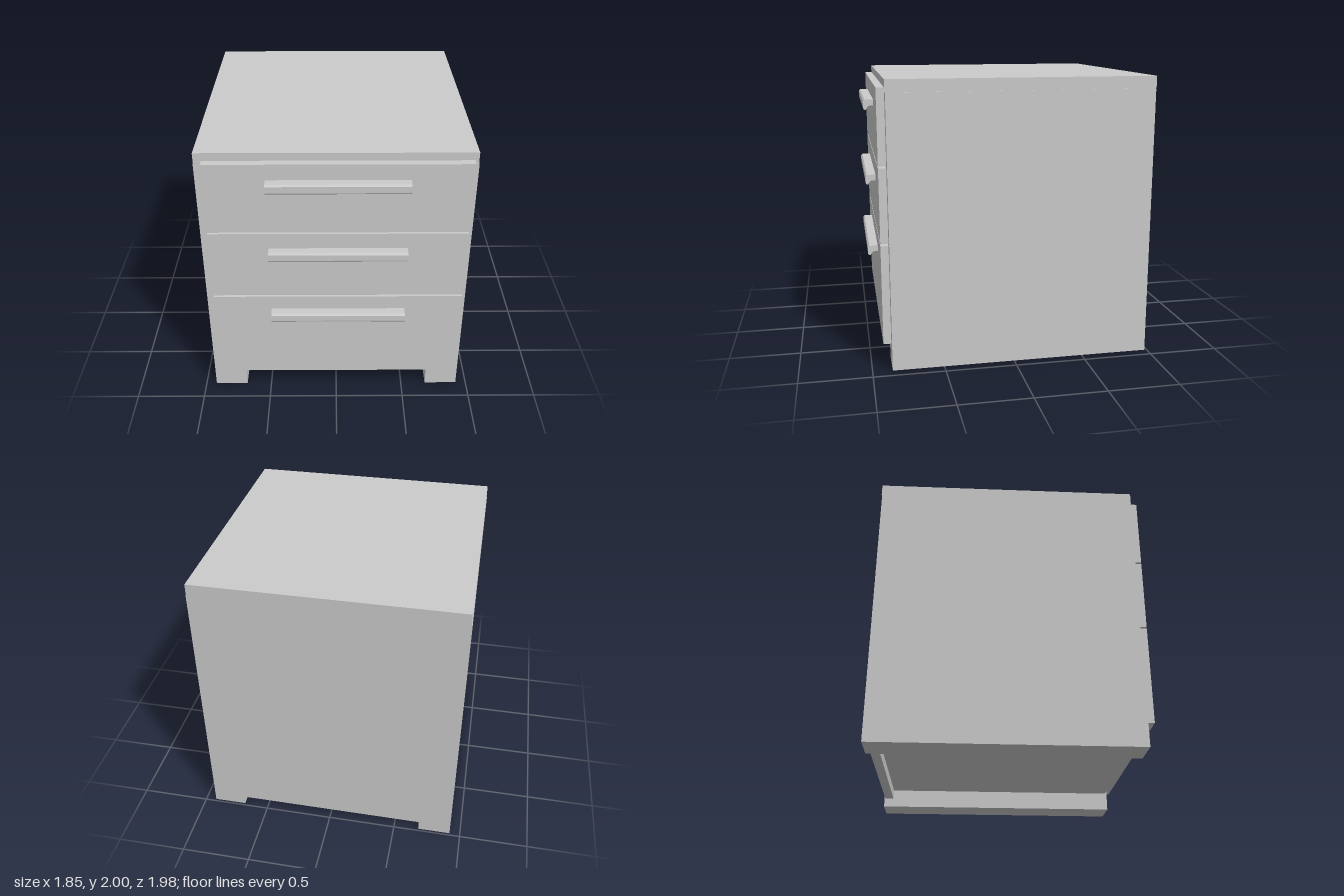
import * as THREE from 'three';

const material = new THREE.MeshStandardMaterial({ color: 0xcccccc, flatShading: true });

// Box given by its lower and upper limits on each axis
function box(name, x0, x1, y0, y1, z0, z1) {
  const mesh = new THREE.Mesh(new THREE.BoxGeometry(x1 - x0, y1 - y0, z1 - z0), material);
  mesh.position.set((x0 + x1) / 2, (y0 + y1) / 2, (z0 + z1) / 2);
  mesh.name = name;
  return mesh;
}

// Hooked bar pull, its profile drawn as (z, y) and run along x
function handleGeometry() {
  const s = new THREE.Shape();
  s.moveTo(0, 0);
  s.lineTo(0.06, 0);
  s.lineTo(0.071, -0.011);
  s.lineTo(0.071, -0.054);
  s.quadraticCurveTo(0.07, -0.071, 0.052, -0.071);
  s.quadraticCurveTo(0.042, -0.042, 0.024, -0.042);
  s.lineTo(0, -0.042);
  s.closePath();
  const g = new THREE.ExtrudeGeometry(s, { depth: 0.945, bevelEnabled: false, curveSegments: 4 });
  return g.rotateY(-Math.PI / 2).translate(0.485, 0, 0);
}

export function createModel() {
  const model = new THREE.Group();
  model.name = 'drawerCabinet';

  // Carcass: the back panel hangs lower than the bottom panel
  model.add(
    box('topPanel', -0.92, 0.918, 1.915, 2, -0.987, 0.865),
    box('rightSide', -0.923, -0.685, 0, 1.915, -0.983, 0.862),
    box('leftSide', 0.685, 0.923, 0, 1.915, -0.983, 0.862),
    box('backPanel', -0.685, 0.685, 0.066, 1.915, -0.976, -0.91),
    box('bottomPanel', -0.685, 0.685, 0.135, 0.203, -0.91, 0.848)
  );

  // Drawers: bottom, top and handle heights
  const pull = handleGeometry();
  const rows = [
    [1.43, 1.945, 1.832],
    [0.902, 1.418, 1.302],
    [0.187, 0.888, 0.78],
  ];
  rows.forEach(([y0, y1, yHandle], i) => {
    const drawer = new THREE.Group();
    drawer.name = ['topDrawer', 'middleDrawer', 'bottomDrawer'][i];
    const low = y0 + 0.03, high = y1 - 0.12;
    drawer.add(
      box('drawerFront', -0.867, 0.892, y0, y1, 0.865, 0.919),
      box('drawerBase', -0.66, 0.66, low, low + 0.03, -0.85, 0.865),
      box('drawerBack', -0.66, 0.66, low + 0.03, high, -0.85, -0.82)
    );
    for (const s of [-1, 1]) {
      const wall = box('drawerWall', -0.015, 0.015, low + 0.03, high, -0.82, 0.865);
      wall.position.x = s * 0.645;
      drawer.add(wall);
    }
    const handle = new THREE.Mesh(pull, material);
    handle.name = 'handle';
    handle.position.set(0, yHandle, 0.919);
    drawer.add(handle);
    model.add(drawer);
  });

  return model;
}
